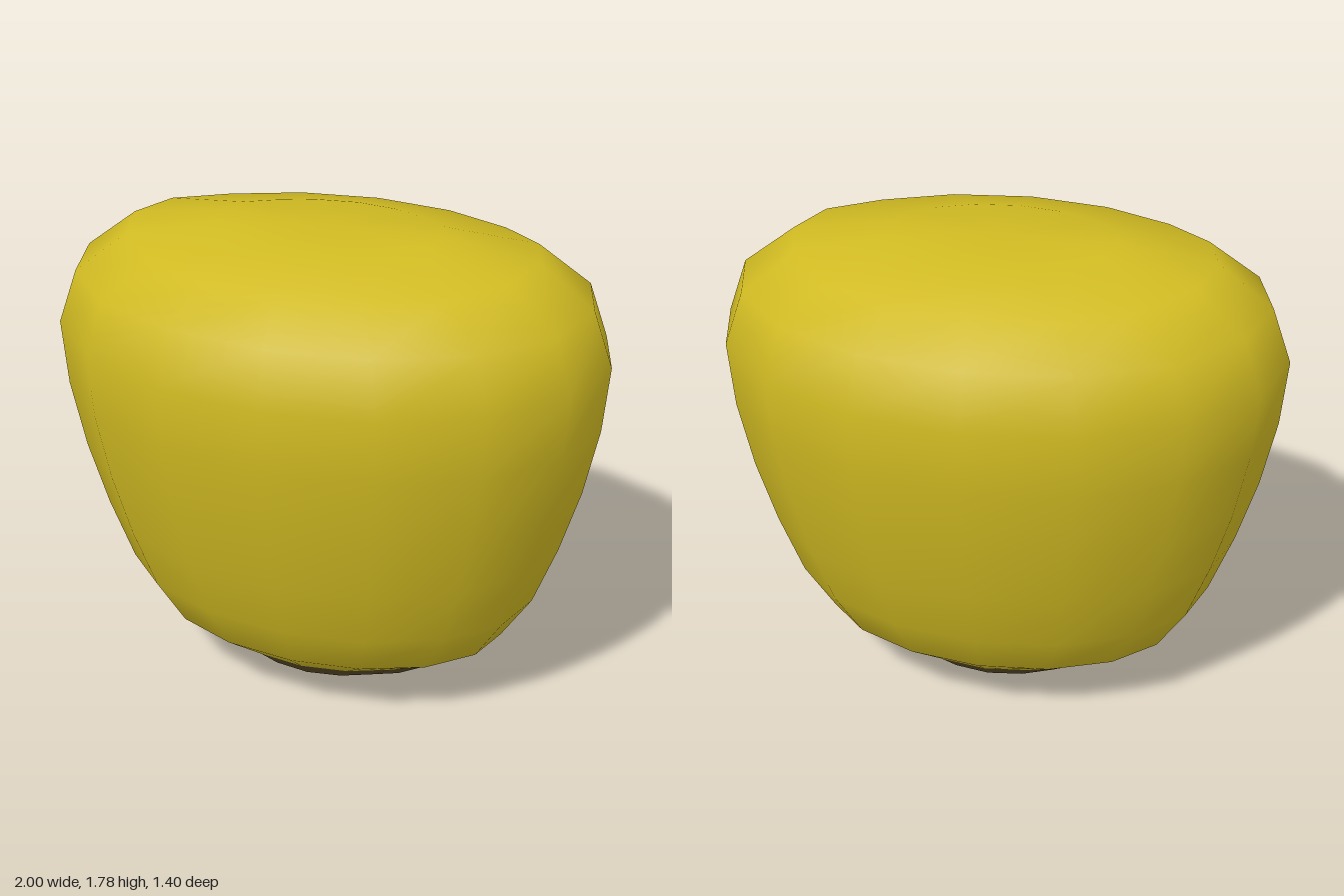
import * as THREE from 'three';
import { mergeVertices } from 'three/addons/utils/BufferGeometryUtils.js';

const SIDES = 16;

// Oval cross-sections, bottom to top: [x radius, z radius, height at the x ends, height at the z ends]
const tipRings = [
  [0, 0, 0, 0],
  [0.26, 0.19, 0.03, 0.065],
  [0.33, 0.26, 0.055, 0.105],
  [0.44, 0.32, 0.12, 0.17],
];
const bodyRings = [
  [0.44, 0.32, 0.12, 0.17],
  [0.665, 0.425, 0.26, 0.26],
  [0.775, 0.51, 0.43, 0.43],
  [0.86, 0.585, 0.66, 0.66],
  [0.93, 0.645, 0.9, 0.9],
  [0.98, 0.69, 1.15, 1.15],
  [1, 0.7, 1.39, 1.38],
  [0.93, 0.65, 1.585, 1.575],
  [0.74, 0.51, 1.73, 1.7],
  [0.4, 0.28, 1.78, 1.76],
  [0, 0, 1.773, 1.773],
];

// Skin a stack of oval rings; a ring of zero radius closes the end
function loft(rings) {
  const positions = [], index = [];
  for (const [a, b, yx, yz] of rings) {
    for (let j = 0; j < SIDES; j++) {
      const t = (j / SIDES) * Math.PI * 2;
      const s = Math.sin(t);
      positions.push(a * Math.cos(t), yx + (yz - yx) * Math.min(1, 1.8 * s * s), b * s);
    }
  }
  for (let i = 0; i < rings.length - 1; i++) {
    for (let j = 0; j < SIDES; j++) {
      const k = (j + 1) % SIDES;
      const p = i * SIDES + j, q = i * SIDES + k;
      if (rings[i][0] > 0) index.push(p, p + SIDES, q);
      if (rings[i + 1][0] > 0) index.push(q, p + SIDES, q + SIDES);
    }
  }
  const geometry = new THREE.BufferGeometry();
  geometry.setAttribute('position', new THREE.Float32BufferAttribute(positions, 3));
  geometry.setIndex(index);
  const merged = mergeVertices(geometry);
  merged.computeVertexNormals();
  return merged;
}

export function createModel() {
  const model = new THREE.Group();
  model.name = 'kernel';
  const add = (name, rings, color) => {
    const mesh = new THREE.Mesh(loft(rings), new THREE.MeshStandardMaterial({ color }));
    mesh.name = name;
    model.add(mesh);
  };
  add('kernelBody', bodyRings, 0xd0ba22);
  add('kernelTip', tipRings, 0x5a4a28);
  return model;
}
